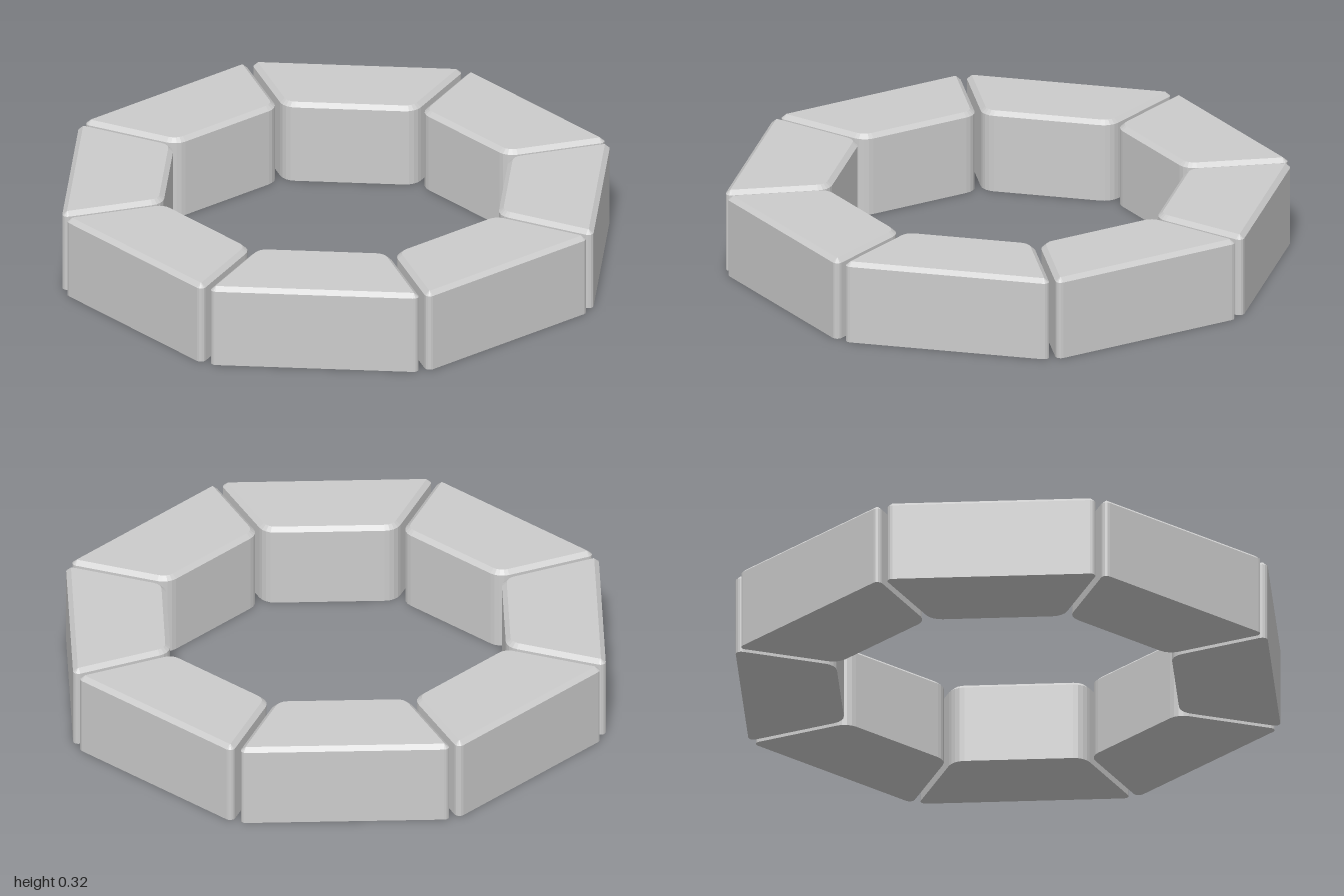
import * as THREE from 'three';

const HEIGHT = 0.32, BEVEL_H = 0.016, BEVEL_IN = 0.018;
const INNER = 0.63, OUTER = 1, GAP = 0.013, COUNT = 8;
const HALF = Math.PI / COUNT;

// Centre of a corner arc that touches the slanted side of a block
function arcCentre(z, r) {
  return [z * Math.tan(HALF) - GAP - r / Math.cos(HALF), z];
}

// Rounded trapezoid outline as [x, z] pairs, shrunk by inset
function outline(inset) {
  const corners = [
    { r: 0.065, z: INNER + 0.065, from: -Math.PI / 2, to: -HALF, steps: 4 },
    { r: 0.02, z: OUTER - 0.02, from: -HALF, to: Math.PI / 2, steps: 4 },
  ];
  const right = [];
  for (const { r, z, from, to, steps } of corners) {
    const [cx, cz] = arcCentre(z, r);
    for (let i = 0; i <= steps; i++) {
      const a = from + (to - from) * i / steps;
      right.push([cx + (r - inset) * Math.cos(a), cz + (r - inset) * Math.sin(a)]);
    }
  }
  const left = right.map(([x, z]) => [-x, z]).reverse();
  return [...right, ...left];
}

// Loft: foot, start of the bevel, top face
function blockGeometry() {
  const levels = [[0, 0], [HEIGHT - BEVEL_H, 0], [HEIGHT, BEVEL_IN]];
  const positions = [], index = [];
  let n = 0;
  for (const [y, inset] of levels) {
    const ring = outline(inset);
    n = ring.length;
    for (const [x, z] of ring) positions.push(x, y, z);
  }
  for (let l = 0; l < levels.length - 1; l++) {
    for (let i = 0; i < n; i++) {
      const j = (i + 1) % n, b = l * n, t = b + n;
      index.push(b + j, b + i, t + i, b + j, t + i, t + j);
    }
  }
  // Flat bottom and top caps
  const top = (levels.length - 1) * n;
  for (let i = 1; i < n - 1; i++) {
    index.push(0, i, i + 1);
    index.push(top, top + i + 1, top + i);
  }
  const indexed = new THREE.BufferGeometry();
  indexed.setAttribute('position', new THREE.Float32BufferAttribute(positions, 3));
  indexed.setIndex(index);
  const geometry = indexed.toNonIndexed();
  geometry.computeVertexNormals();
  return geometry;
}

export function createModel() {
  const model = new THREE.Group();
  model.name = 'stoneRing';
  const material = new THREE.MeshStandardMaterial({ color: 0xcccccc, flatShading: true });
  const geometry = blockGeometry();
  // Eight equal blocks around the centre
  for (let i = 0; i < COUNT; i++) {
    const block = new THREE.Mesh(geometry, material);
    block.name = `ringBlock${i + 1}`;
    block.rotation.y = i * 2 * HALF;
    model.add(block);
  }
  return model;
}
